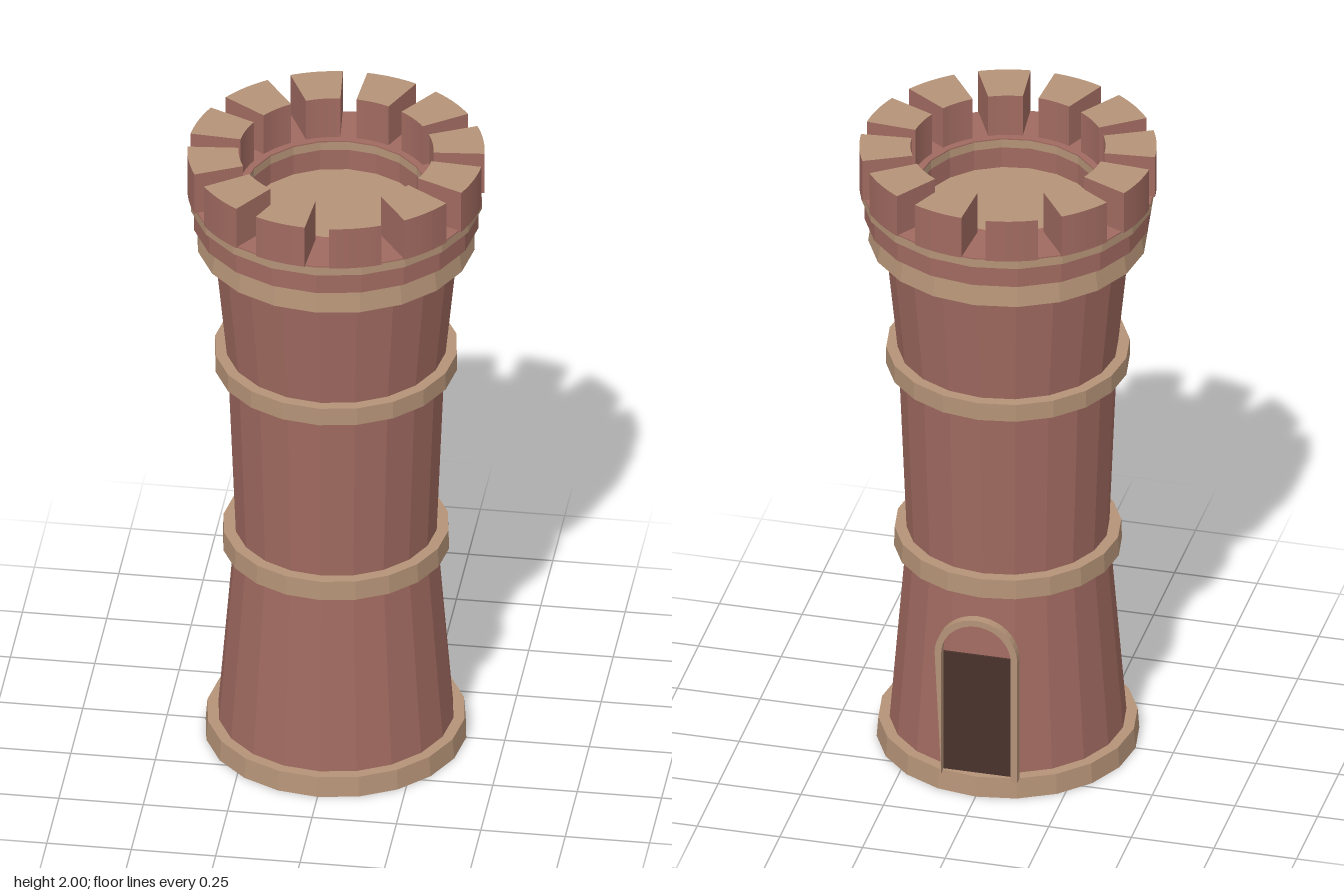
import * as THREE from 'three';

const SIDES = 20;

export function createModel() {
  const brick = new THREE.MeshStandardMaterial({ color: 0xa06a60 });
  brick.name = 'red brick';
  const stone = new THREE.MeshStandardMaterial({ color: 0xb59377 });
  stone.name = 'tan stone';
  const wood = new THREE.MeshStandardMaterial({ color: 0x4a322c });
  wood.name = 'dark wood';

  const tower = new THREE.Group();
  tower.name = 'tower';

  // Adds a faceted mesh
  const add = (name, geometry, material, parent = tower) => {
    const flat = geometry.index ? geometry.toNonIndexed() : geometry;
    flat.computeVertexNormals();
    const mesh = new THREE.Mesh(flat, material);
    mesh.name = name;
    parent.add(mesh);
    return mesh;
  };
  // Solid drum between two heights
  const drum = (name, y0, y1, r0, r1, material) =>
    add(name, new THREE.CylinderGeometry(r1, r0, y1 - y0, SIDES).translate(0, (y0 + y1) / 2, 0), material);
  // Hollow ring between two heights
  const ring = (name, y0, y1, rIn, rOut, material) =>
    add(name, new THREE.LatheGeometry(
      [[rIn, y0], [rOut, y0], [rOut, y1], [rIn, y1], [rIn, y0]].map(([x, y]) => new THREE.Vector2(x, y)),
      SIDES), material);

  // Shaft and stone courses
  drum('base', 0, 0.065, 0.386, 0.381, stone);
  drum('lowerShaft', 0.065, 0.68, 0.348, 0.298, brick);
  drum('lowerBand', 0.65, 0.712, 0.335, 0.333, stone);
  drum('middleShaft', 0.68, 1.3, 0.297, 0.322, brick);
  drum('upperBand', 1.27, 1.327, 0.358, 0.358, stone);
  drum('upperShaft', 1.3, 1.7, 0.322, 0.362, brick);
  drum('corniceAndFloor', 1.693, 1.768, 0.411, 0.401, stone);

  // Hollow parapet around the roof floor
  ring('parapetWall', 1.768, 1.835, 0.267, 0.422, brick);
  ring('parapetBand', 1.835, 1.862, 0.267, 0.432, stone);
  ring('parapetWalk', 1.862, 1.866, 0.267, 0.432, brick);

  // Twelve battlements with stone tops and brick sides
  const battlements = new THREE.Group();
  battlements.name = 'battlements';
  tower.add(battlements);
  const half = THREE.MathUtils.degToRad(10.25);
  for (let i = 0; i < 12; i++) {
    const a = THREE.MathUtils.degToRad(15.7 + 30 * i);
    const shape = new THREE.Shape();
    shape.absarc(0, 0, 0.436, a - half, a + half, false);
    shape.absarc(0, 0, 0.286, a + half, a - half, true);
    const block = new THREE.ExtrudeGeometry(shape, { depth: 0.136, bevelEnabled: false, curveSegments: 4 });
    block.rotateX(-Math.PI / 2).translate(0, 1.864, 0);
    add('battlement' + (i + 1), block, [stone, brick], battlements);
  }

  // Back doorway: arched frame and door panel
  const doorway = new THREE.Group();
  doorway.name = 'doorway';
  tower.add(doorway);
  const R = 0.125, r = 0.105, bottom = 0.062, spring = 0.473;
  const arch = new THREE.Shape();
  arch.moveTo(R, bottom);
  arch.absarc(0, spring, R, 0, Math.PI, false);
  arch.lineTo(-R, bottom);
  arch.lineTo(-r, bottom);
  arch.absarc(0, spring, r, Math.PI, 0, true);
  arch.lineTo(r, bottom);
  arch.closePath();
  const frame = new THREE.ExtrudeGeometry(arch, { depth: 0.028, bevelEnabled: false, curveSegments: 10 });
  add('doorFrame', frame.translate(0, 0, -0.383), stone, doorway);
  add('door', new THREE.BoxGeometry(2 * r + 0.01, 0.4, 0.006).translate(0, 0.265, -0.354), wood, doorway);

  return tower;
}
